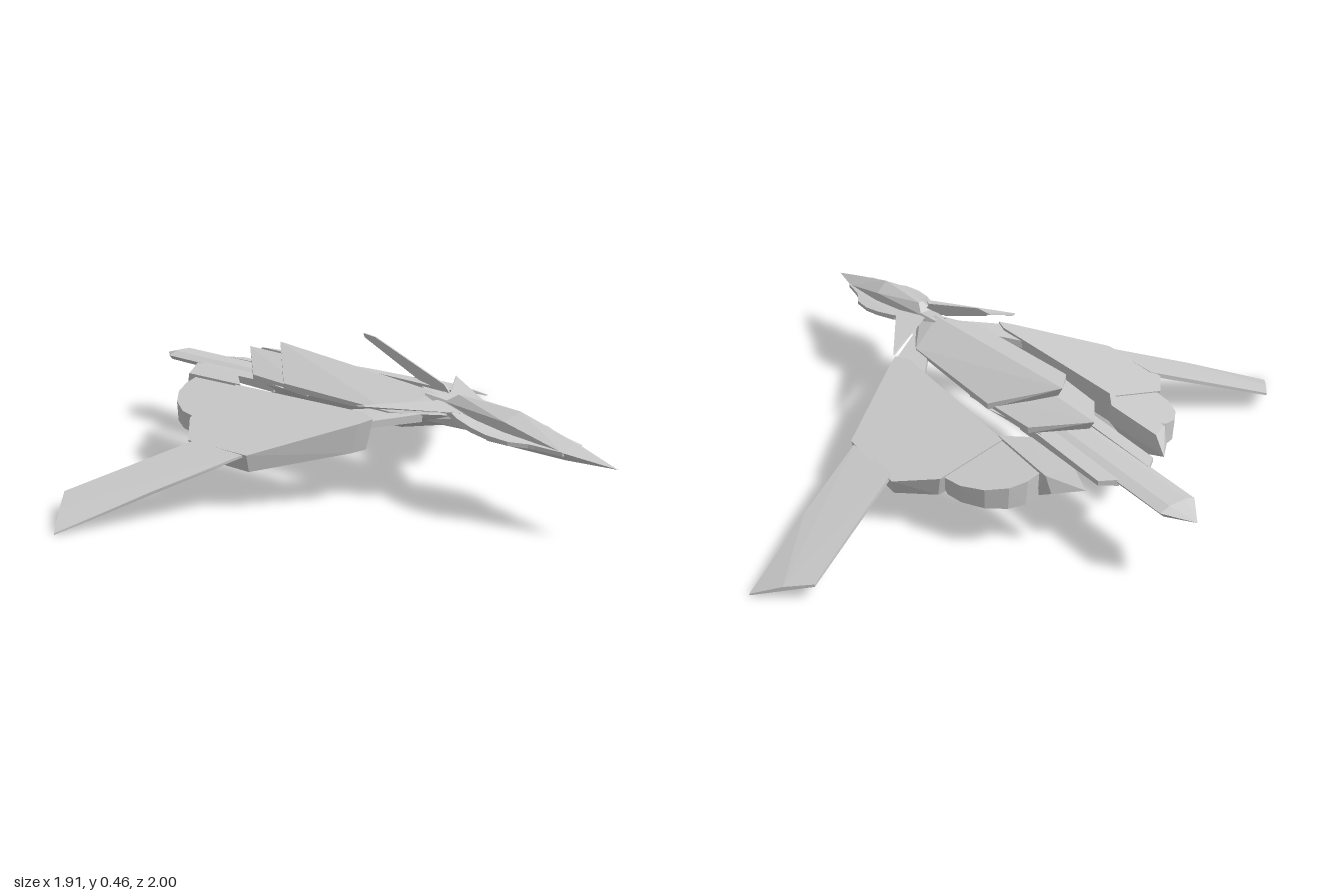
import * as THREE from 'three';
import { ConvexGeometry } from 'three/addons/geometries/ConvexGeometry.js';

export function createModel() {
  const model = new THREE.Group();
  model.name = 'spacecraft';
  const grey = new THREE.MeshStandardMaterial({ color: 0xcccccc });
  grey.name = 'light grey hull';

  function add(name, geometry) {
    const mesh = new THREE.Mesh(geometry, grey);
    mesh.name = name;
    model.add(mesh);
  }

  // Faceted convex part on one side; s = -1 mirrors it.
  function hull(name, points, s = 1) {
    add(name, new ConvexGeometry(points.map(([x, y, z]) => new THREE.Vector3(x, y, z * s))));
  }

  // Convex part symmetric about the centre plane.
  function centreHull(name, points) {
    const both = [];
    for (const [x, y, z] of points) {
      both.push([x, y, z]);
      if (z) both.push([x, y, -z]);
    }
    hull(name, both);
  }

  // Plate with an outline in x, z; top and bottom heights follow rules of x and |z|.
  function slab(name, outline, top, bottom, s = 1, inset = 1) {
    const shape = new THREE.Shape(outline.map(([x, z]) => new THREE.Vector2(x, -z * s)));
    const geo = new THREE.ExtrudeGeometry(shape, { depth: 1, bevelEnabled: false });
    const cx = outline.reduce((a, p) => a + p[0], 0) / outline.length;
    const cz = s * outline.reduce((a, p) => a + p[1], 0) / outline.length;
    const pos = geo.attributes.position;
    for (let i = 0; i < pos.count; i++) {
      let x = pos.getX(i), z = -pos.getY(i);
      const isTop = pos.getZ(i) > 0.5;
      if (!isTop) {
        x = cx + (x - cx) * inset;
        z = cz + (z - cz) * inset;
      }
      pos.setXYZ(i, x, (isTop ? top : bottom)(x, Math.abs(z)), z);
    }
    geo.computeVertexNormals();
    add(name, geo);
  }

  // Nose and cockpit
  centreHull('cockpit', [
    [0.95, 0.225, 0], [0.8, 0.272, 0], [0.8, 0.25, 0.045], [0.8, 0.226, 0.03],
    [0.62, 0.325, 0], [0.6, 0.3, 0.05], [0.53, 0.226, 0.035], [0.6, 0.25, 0.055],
    [0.4, 0.335, 0.008], [0.36, 0.31, 0.025], [0.42, 0.265, 0.02],
  ]);
  const brim = [[0.34, 0.02], [0.45, 0.08], [0.52, 0.1], [0.58, 0.108], [0.65, 0.1], [0.7, 0.072], [0.72, 0.066], [0.8, 0.048]];
  slab('cockpitBrim', [...brim, ...brim.map(([x, z]) => [x, -z]).reverse()],
    (x, z) => 0.345 - 0.11 * x - 0.1 * z, (x, z) => 0.315 - 0.09 * x - 0.05 * z);

  // Swept crest blade on the centre line
  const crest = new THREE.Shape([[0.01, 0.46], [0.06, 0.455], [0.34, 0.353], [0.36, 0.33], [0.32, 0.335], [0.24, 0.35], [0.015, 0.448]]
    .map(([x, y]) => new THREE.Vector2(x, y)));
  add('crest', new THREE.ExtrudeGeometry(crest, { depth: 0.006, bevelEnabled: false }).translate(0, 0, -0.003));

  // Fuselage: upper roof, lower stepped roof and keel
  centreHull('upperRoof', [
    [-0.37, 0.372, 0], [-0.35, 0.338, 0], [-0.2, 0.288, 0.15], [-0.2, 0.268, 0.15],
    [0.23, 0.275, 0.13], [0.23, 0.265, 0.13], [0.3, 0.322, 0], [0.3, 0.27, 0.09], [0.4, 0.3, 0], [0.4, 0.27, 0.02],
  ]);
  centreHull('lowerRoof', [
    [-0.52, 0.332, 0], [-0.5, 0.3, 0], [-0.37, 0.282, 0.125], [-0.37, 0.262, 0.125],
    [-0.1, 0.28, 0.145], [-0.1, 0.262, 0.145], [0, 0.33, 0],
  ]);
  centreHull('keel', [
    [-0.4, 0.265, 0.1], [-0.2, 0.27, 0.15], [0.23, 0.27, 0.13], [0.43, 0.28, 0.03], [0.43, 0.25, 0],
    [0.2, 0.2, 0.035], [0, 0.19, 0], [0, 0.205, 0.07], [-0.32, 0.2, 0.06],
  ]);
  centreHull('neck', [
    [0.28, 0.32, 0.02], [0.3, 0.25, 0.06], [0.3, 0.225, 0], [0.56, 0.3, 0.03], [0.54, 0.24, 0.02],
  ]);

  // Tail beam
  centreHull('tailBeam', [
    [-0.96, 0.24, 0], [-0.88, 0.262, 0.03], [-0.88, 0.25, 0.062], [-0.88, 0.235, 0.05],
    [-0.3, 0.268, 0.03], [-0.3, 0.255, 0.062], [-0.3, 0.235, 0.05],
  ]);

  for (const s of [1, -1]) {
    const side = s > 0 ? 'right' : 'left';

    // Rail beside the tail beam
    hull(side + 'TailRail', [
      [-0.7, 0.255, 0.055], [-0.7, 0.235, 0.055], [-0.665, 0.25, 0.102], [-0.665, 0.235, 0.102],
      [-0.3, 0.265, 0.055], [-0.3, 0.23, 0.055], [-0.3, 0.26, 0.102], [-0.3, 0.23, 0.102],
    ], s);

    // Thin canard behind the cockpit
    hull(side + 'Canard', [
      [0.46, 0.3, 0.06], [0.19, 0.308, 0.24], [0.19, 0.302, 0.235], [0.34, 0.31, 0.02], [0.36, 0.296, 0.02],
    ], s);

    // Strut joining the fuselage to the pod
    hull(side + 'Strut', [
      [0.2, 0.275, 0.1], [0.32, 0.275, 0.08], [0.2, 0.25, 0.1], [0.32, 0.25, 0.08],
      [0.05, 0.262, 0.22], [0.22, 0.26, 0.22], [0.05, 0.235, 0.22], [0.22, 0.24, 0.22],
    ], s);

    // Drooping pod with bevelled underside
    const podTop = (x, z) => 0.33 - 0.3 * z;
    slab(side + 'Pod', [
      [-0.36, 0.21], [0.18, 0.185], [0.235, 0.205], [0.21, 0.245], [0.01, 0.507], [-0.24, 0.517], [-0.345, 0.42],
    ], podTop, (x, z) => 0.19 - 0.135 * z + 0.12 * Math.max(0, x - 0.12), s, 0.93);

    // Rounded shield behind the pod
    slab(side + 'Shield', [
      [-0.3, 0.21], [-0.3, 0.39], [-0.35, 0.405], [-0.41, 0.395], [-0.48, 0.36], [-0.53, 0.31], [-0.55, 0.26], [-0.55, 0.21],
    ], (x, z) => podTop(x, z) - 0.004, (x, z) => 0.2 - 0.13 * z, s, 0.95);

    // Engine box along the inner edge of the pod
    hull(side + 'Engine', [
      [-0.62, 0.285, 0.15], [-0.42, 0.285, 0.15], [-0.58, 0.268, 0.222], [-0.34, 0.27, 0.21],
      [-0.665, 0.235, 0.145], [-0.6, 0.215, 0.215], [-0.42, 0.225, 0.148],
      [-0.52, 0.168, 0.16], [-0.52, 0.165, 0.22], [-0.34, 0.17, 0.21],
    ], s);

    // Long drooping wing with a slight crease near the tip
    hull(side + 'Wing', [
      [-0.005, 0.178, 0.5], [-0.005, 0.17, 0.5], [-0.21, 0.182, 0.5], [-0.21, 0.166, 0.5],
      [-0.13, 0.096, 0.75], [-0.33, 0.043, 0.93], [-0.395, 0.064, 0.865], [-0.395, 0.056, 0.865],
      [-0.26, 0.005, 1], [-0.26, 0, 1],
    ], s);
  }
  return model;
}
